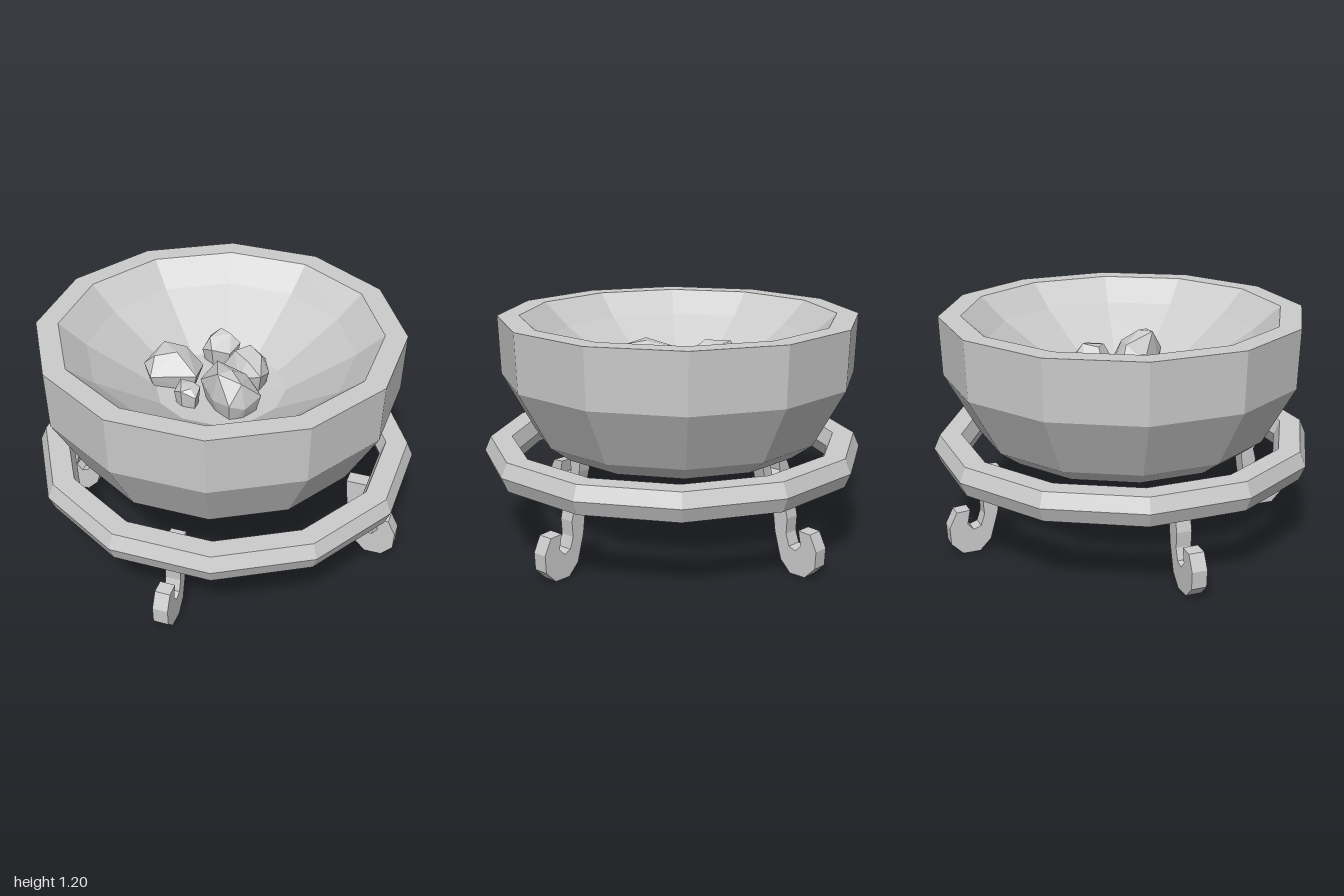
import * as THREE from 'three';
import { ConvexGeometry } from 'three/addons/geometries/ConvexGeometry.js';

const SIDES = 12;
const material = new THREE.MeshStandardMaterial({ color: 0xcccccc, flatShading: true });

function addMesh(parent, name, geometry) {
  const mesh = new THREE.Mesh(geometry, material);
  mesh.name = name;
  parent.add(mesh);
  return mesh;
}

// Twelve-sided turned part from [radius, height] pairs
function turned(profile) {
  return new THREE.LatheGeometry(profile.map(([r, y]) => new THREE.Vector2(r, y)), SIDES);
}

// Faceted rock: widest along its [x, z] outline, narrower below, peaked at its top points
function rock(outline, tops) {
  const points = tops.map((p) => new THREE.Vector3(...p));
  const cx = outline.reduce((sum, p) => sum + p[0], 0) / outline.length;
  const cz = outline.reduce((sum, p) => sum + p[1], 0) / outline.length;
  outline.forEach(([x, z], i) => {
    points.push(new THREE.Vector3(x, 0.91 + 0.03 * (i % 2), z));
    points.push(new THREE.Vector3(cx + (x - cx) * 0.8, 0.82, cz + (z - cz) * 0.8));
  });
  return new ConvexGeometry(points);
}

// Leg with an outward-curling foot, drawn as a [radius, height] outline
function legGeometry() {
  const outline = [
    [0.69, 0.445], [0.695, 0.36], [0.715, 0.2], [0.755, 0.06], [0.815, 0.0],
    [0.905, 0.0], [0.965, 0.06], [0.97, 0.15], [0.93, 0.23], [0.86, 0.235],
    [0.875, 0.16], [0.845, 0.125], [0.805, 0.14], [0.785, 0.2], [0.79, 0.28],
    [0.775, 0.34], [0.8, 0.385], [0.87, 0.445],
  ];
  const shape = new THREE.Shape(outline.map(([r, y]) => new THREE.Vector2(r, y)));
  const thickness = 0.08;
  return new THREE.ExtrudeGeometry(shape, { depth: thickness, bevelEnabled: false })
    .translate(0, 0, -thickness / 2);
}

export function createModel() {
  const model = new THREE.Group();
  model.name = 'footedBowl';

  // Thick-walled bowl with a shallow tapered base, slightly off the stand's centre
  const bowl = addMesh(model, 'bowl', turned([
    [0, 0.51], [0.65, 0.51], [0.76, 0.59], [0.93, 0.893], [0.942, 1.2],
    [0.828, 1.2], [0.69, 1.08], [0.34, 0.85], [0, 0.83],
  ]));
  bowl.position.set(-0.012, 0, -0.03);

  // Stand ring around the bowl's base
  addMesh(model, 'standRing', turned([
    [0.855, 0.405], [0.968, 0.405], [1, 0.48], [0.968, 0.555],
    [0.855, 0.555], [0.825, 0.48], [0.855, 0.405],
  ]));

  // Four legs on the diagonals
  const legs = new THREE.Group();
  legs.name = 'legs';
  legs.position.z = -0.01;
  const leg = legGeometry();
  for (let i = 0; i < 4; i++) {
    addMesh(legs, 'leg', leg).rotation.y = Math.PI / 4 + (i * Math.PI) / 2;
  }
  model.add(legs);

  // Rocks lying on the bowl floor
  const rocks = new THREE.Group();
  rocks.name = 'rocks';
  [
    {
      outline: [[-0.34, -0.19], [-0.33, -0.29], [-0.2, -0.37], [-0.09, -0.3], [-0.04, -0.18], [-0.14, -0.05]],
      tops: [[-0.29, 1.0, -0.24], [-0.2, 1.02, -0.32], [-0.11, 1.01, -0.24], [-0.19, 1.03, -0.18]],
    },
    {
      outline: [[0.02, -0.32], [0.1, -0.385], [0.19, -0.37], [0.21, -0.245], [0.13, -0.21], [0.04, -0.245]],
      tops: [[0.06, 0.98, -0.31], [0.14, 1.0, -0.34], [0.17, 0.99, -0.28]],
    },
    {
      outline: [[0.05, -0.13], [0.14, -0.17], [0.25, -0.155], [0.26, -0.05], [0.235, 0.04], [0.155, 0.1], [0.06, 0.02]],
      tops: [[0.1, 1.01, -0.09], [0.19, 1.02, -0.09], [0.21, 1.0, 0.0], [0.12, 1.0, 0.02]],
    },
    {
      outline: [[-0.28, -0.02], [-0.22, -0.07], [-0.15, -0.02], [-0.16, 0.04], [-0.21, 0.09], [-0.27, 0.04]],
      tops: [[-0.24, 0.95, -0.02], [-0.18, 0.95, 0.0], [-0.22, 0.95, 0.05]],
    },
    {
      outline: [[-0.03, -0.09], [0.04, -0.02], [0.11, 0.14], [0.08, 0.25], [-0.03, 0.285], [-0.11, 0.27], [-0.14, 0.14], [-0.13, -0.02]],
      tops: [[-0.03, 1.02, -0.03], [0.06, 1.0, 0.12], [-0.03, 1.06, 0.14], [-0.11, 1.06, 0.14], [-0.03, 1.04, 0.25]],
    },
  ].forEach(({ outline, tops }) => addMesh(rocks, 'rock', rock(outline, tops)));
  model.add(rocks);

  return model;
}
